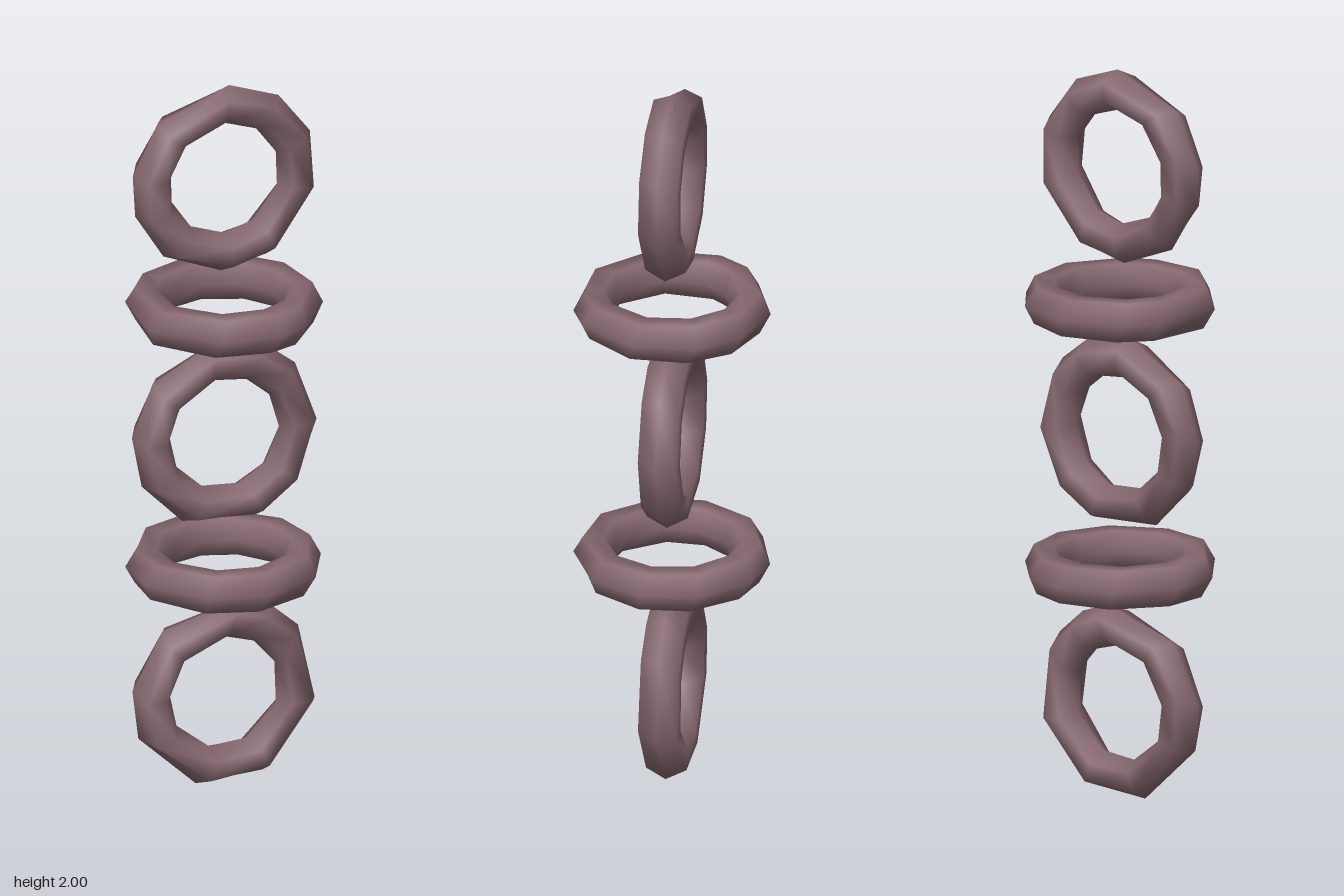
import * as THREE from 'three';

const R = 0.212; // ring radius
const T = 0.054; // tube radius
const SIDES = 6;

// Faceted ring in the xy plane: outer corners at the given angles (degrees, ascending),
// inner corners drift towards even spacing so the facets twist a little.
function ringGeometry(angles) {
  const n = angles.length;
  const mean = angles.reduce((s, a, i) => s + a - (i * 360) / n, 0) / n;
  const pos = [], index = [];
  for (let i = 0; i < n; i++) {
    const even = mean + (i * 360) / n;
    for (let j = 0; j < SIDES; j++) {
      const phi = (j / SIDES) * Math.PI * 2;
      const inward = (1 - Math.cos(phi)) / 2;
      const deg = THREE.MathUtils.lerp(angles[i], even, inward * 0.6) + 4 * Math.sin(phi);
      const a = THREE.MathUtils.degToRad(deg);
      const r = R + T * Math.cos(phi);
      pos.push(r * Math.cos(a), r * Math.sin(a), T * 1.12 * Math.sin(phi));
      // quad to the next section
      const i2 = (i + 1) % n, j2 = (j + 1) % SIDES;
      const p = i * SIDES + j, q = i2 * SIDES + j, s = i2 * SIDES + j2, t = i * SIDES + j2;
      index.push(p, q, s, p, s, t);
    }
  }
  const g = new THREE.BufferGeometry();
  g.setAttribute('position', new THREE.Float32BufferAttribute(pos, 3));
  g.setIndex(index);
  g.computeVertexNormals();
  return g;
}

export function createModel() {
  const model = new THREE.Group();
  model.name = 'chain';
  const mauve = new THREE.MeshStandardMaterial({ color: 0x866870 });
  mauve.name = 'mauve metal';

  // Upright and flat links alternate from bottom to top
  const links = [
    { name: 'bottomLink', y: 0.253, angles: [-158, -108, -66, -12, 37, 60, 80, 132, 172] },
    { name: 'lowerFlatLink', y: 0.625, flat: true, angles: [-165, -125, -88, -62, -25, 8, 45, 85, 120, 165] },
    { name: 'middleLink', y: 1.0, angles: [-153, -117, -70, -41, 0, 40, 64, 97, 141, 175] },
    { name: 'upperFlatLink', y: 1.365, flat: true, angles: [-152, -130, -90, -54, -23, 15, 56, 75, 112, 161] },
    { name: 'topLink', y: 1.735, angles: [-164, -131, -92, -63, -14, 22, 54, 87, 136, 171] },
  ];
  for (const { name, y, flat, angles } of links) {
    const link = new THREE.Mesh(ringGeometry(angles), mauve);
    link.name = name;
    link.position.y = y;
    if (flat) link.rotation.x = Math.PI / 2;
    model.add(link);
  }
  return model;
}
